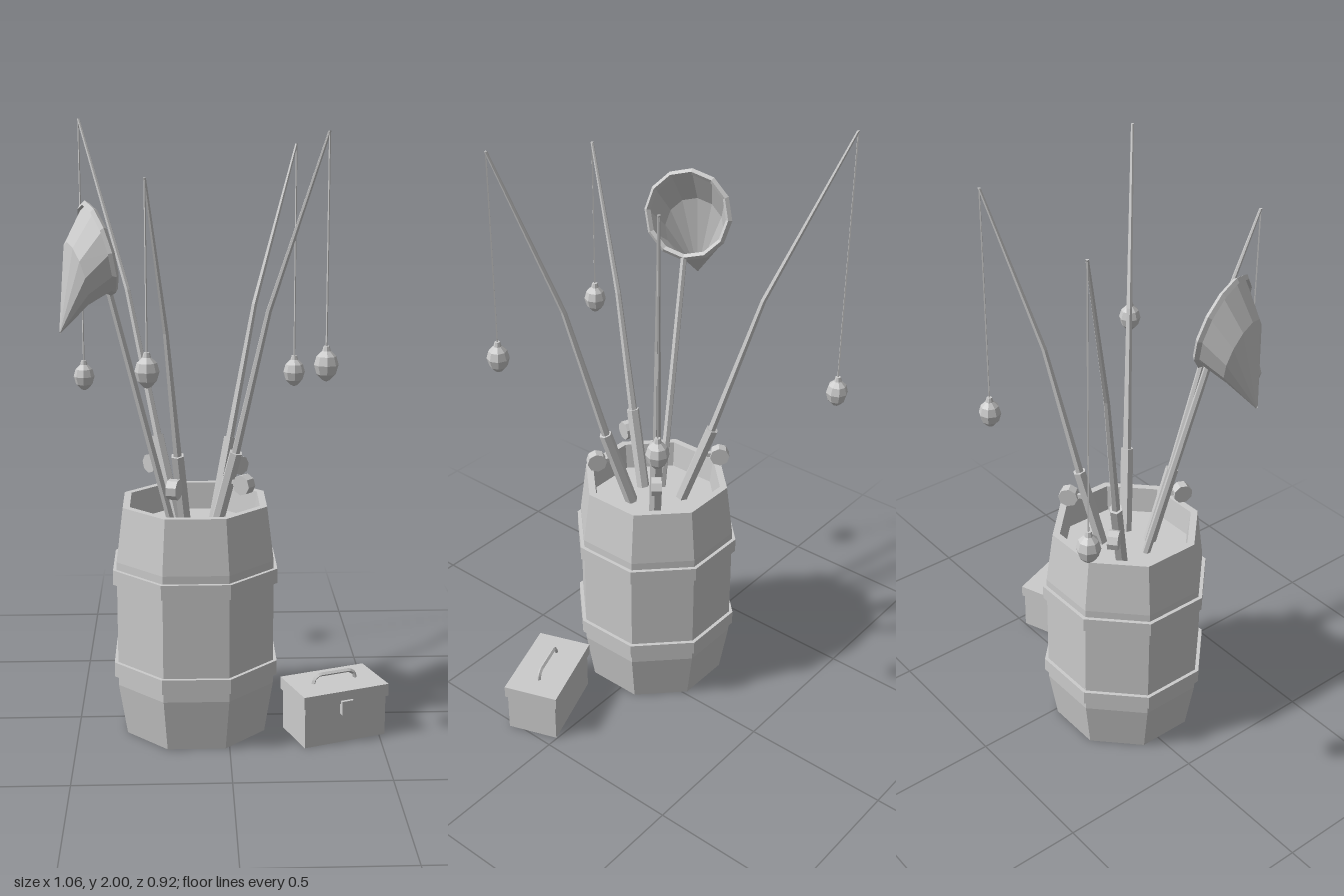
import * as THREE from 'three';

const V = (x, y, z) => new THREE.Vector3(x, y, z);
const grey = new THREE.MeshStandardMaterial({ color: 0xcccccc, flatShading: true });
const greyThin = new THREE.MeshStandardMaterial({ color: 0xcccccc, flatShading: true, side: THREE.DoubleSide });

function add(parent, name, geometry, material = grey) {
  const mesh = new THREE.Mesh(geometry, material);
  mesh.name = name;
  parent.add(mesh);
  return mesh;
}

// Straight tapered prism between two points
function limb(parent, name, a, b, ra, rb, sides) {
  const dir = b.clone().sub(a);
  const mesh = add(parent, name, new THREE.CylinderGeometry(rb, ra, dir.length(), sides));
  mesh.position.copy(a).add(b).multiplyScalar(0.5);
  mesh.quaternion.setFromUnitVectors(V(0, 1, 0), dir.normalize());
  return mesh;
}

// Skin over rings given top first as { c: centre, r: radius }, lying in the plane of u and v
function loft(rings, sides, u = V(1, 0, 0), v = V(0, 0, 1), open = false) {
  const rows = rings.length - 1;
  const g = new THREE.CylinderGeometry(1, 1, 1, sides, rows, open);
  const p = g.attributes.position;
  for (let i = 0; i < p.count; i++) {
    const { c, r } = rings[Math.round((0.5 - p.getY(i)) * rows)];
    const q = c.clone().addScaledVector(u, p.getX(i) * r).addScaledVector(v, p.getZ(i) * r);
    p.setXYZ(i, q.x, q.y, q.z);
  }
  g.computeVertexNormals();
  return g;
}

// Eight-sided lathe with flats facing the axes; profile radii are measured to the flats
function octagon(profile) {
  const k = 1 / Math.cos(Math.PI / 8);
  const pts = profile.map(([r, y]) => new THREE.Vector2(r * k, y));
  return new THREE.LatheGeometry(pts, 8, Math.PI / 8);
}

function makeBarrel() {
  const barrel = new THREE.Group();
  barrel.name = 'barrel';
  add(barrel, 'barrelBody', octagon([
    [0, 0], [0.228, 0], [0.255, 0.175], [0.255, 0.6], [0.233, 0.78],
    [0.21, 0.78], [0.2, 0.69], [0, 0.69],
  ]));
  for (const y of [0.207, 0.525]) {
    add(barrel, 'hoop', octagon([[0.25, y], [0.267, y], [0.267, y + 0.049], [0.25, y + 0.049]]));
  }
  barrel.position.set(-0.108, 0, 0.032);
  return barrel;
}

function makeRod(base, grip, tip, floatY) {
  const rod = new THREE.Group();
  rod.name = 'fishingRod';
  const out = V(tip.x - base.x, 0, tip.z - base.z).normalize();

  // Handle and bent, tapering pole
  limb(rod, 'rodHandle', base, grip, 0.022, 0.022, 6);
  const bend = V(
    THREE.MathUtils.lerp(grip.x, tip.x, 0.37),
    THREE.MathUtils.lerp(grip.y, tip.y, 0.46),
    THREE.MathUtils.lerp(grip.z, tip.z, 0.37));
  const start = base.clone().lerp(grip, 0.9);
  add(rod, 'rodPole', loft([{ c: tip, r: 0.005 }, { c: bend, r: 0.01 }, { c: start, r: 0.015 }], 6));

  // Reel on the outer side of the handle, its axle sideways
  const seat = base.clone().lerp(grip, 0.65);
  const hub = seat.clone().addScaledVector(out, 0.062);
  hub.y -= 0.005;
  limb(rod, 'reelFoot', seat, hub, 0.01, 0.01, 4);
  const side = V(-out.z, 0, out.x).multiplyScalar(0.017);
  limb(rod, 'reel', hub.clone().sub(side), hub.clone().add(side), 0.033, 0.033, 8);

  // Line and float
  const eye = V(tip.x, floatY, tip.z);
  limb(rod, 'fishingLine', eye, tip, 0.003, 0.003, 4);
  const profile = [[0, -0.053], [0.012, -0.048], [0.029, -0.03], [0.037, -0.002],
    [0.03, 0.024], [0.013, 0.04], [0.009, 0.055], [0, 0.055]];
  add(rod, 'float', new THREE.LatheGeometry(profile.map(([r, y]) => new THREE.Vector2(r, y)), 8))
    .position.copy(eye);
  return rod;
}

function makeNet() {
  const net = new THREE.Group();
  net.name = 'landingNet';
  const foot = V(-0.18, 0.69, 0.062), neck = V(-0.37, 1.475, 0.13);
  limb(net, 'netPole', foot, neck, 0.014, 0.011, 6);

  // Hoop lies in the plane of the pole (up) and the sideways direction (across)
  const up = neck.clone().sub(foot).normalize();
  const across = V(up.z, 0, -up.x).normalize();
  const normal = across.clone().cross(up);
  const centre = neck.clone().addScaledVector(up, 0.142);
  const ring = add(net, 'netRing', new THREE.TorusGeometry(0.142, 0.011, 4, 12));
  ring.quaternion.setFromRotationMatrix(new THREE.Matrix4().makeBasis(across, up, normal));
  ring.position.copy(centre);

  // Sagging bag
  add(net, 'netBag', loft([
    { c: centre, r: 0.14 },
    { c: V(-0.47, 1.535, 0.165), r: 0.104 },
    { c: V(-0.522, 1.36, 0.187), r: 0.004 },
  ], 12, across, up, true), greyThin);
  return net;
}

function makeToolbox() {
  const box = new THREE.Group();
  box.name = 'tackleBox';
  add(box, 'boxBody', new THREE.BoxGeometry(0.293, 0.14, 0.175)).position.y = 0.07;
  add(box, 'boxLid', new THREE.BoxGeometry(0.307, 0.042, 0.189)).position.y = 0.159;
  add(box, 'latch', new THREE.BoxGeometry(0.042, 0.047, 0.02)).position.set(0, 0.125, 0.095);

  // Carrying handle: an arch of square bar
  const arch = [[-0.078, 0.175], [-0.072, 0.197], [-0.055, 0.208],
    [0.055, 0.208], [0.072, 0.197], [0.078, 0.175]].map(([x, y]) => V(x, y, 0));
  const path = new THREE.CurvePath();
  for (let i = 1; i < arch.length; i++) path.add(new THREE.LineCurve3(arch[i - 1], arch[i]));
  add(box, 'boxHandle', new THREE.TubeGeometry(path, 24, 0.007, 4));

  box.position.set(0.352, 0, 0.136);
  box.rotation.y = THREE.MathUtils.degToRad(20);
  return box;
}

export function createModel() {
  const model = new THREE.Group();
  model.name = 'fishingBarrel';
  model.add(makeBarrel(), makeNet(), makeToolbox());

  // Each rod: foot, top of handle, tip, height of float
  const rods = [
    [V(-0.168, 0.69, -0.035), V(-0.23, 0.965, -0.112), V(-0.493, 2, -0.425), 1.11],
    [V(-0.042, 0.69, -0.02), V(0.012, 0.965, -0.07), V(0.24, 1.92, -0.258), 1.153],
    [V(-0.042, 0.69, 0.085), V(0.024, 0.965, 0.142), V(0.284, 1.97, 0.362), 1.288],
    [V(-0.137, 0.69, 0.112), V(-0.163, 0.965, 0.18), V(-0.25, 1.84, 0.423), 1.282],
  ];
  for (const r of rods) model.add(makeRod(...r));
  return model;
}
